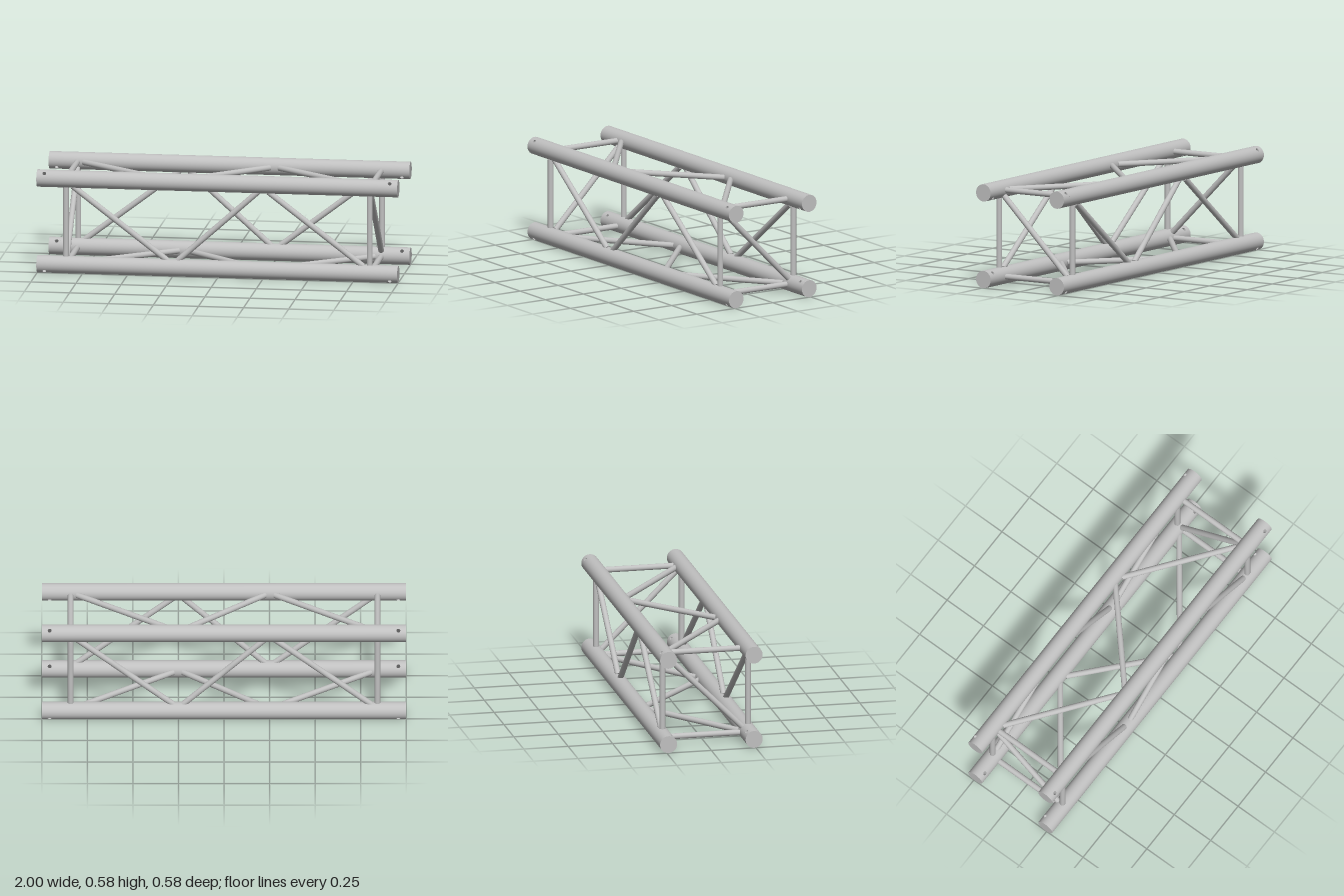
import * as THREE from 'three';
import { mergeGeometries } from 'three/addons/utils/BufferGeometryUtils.js';
import { ParametricGeometry } from 'three/addons/geometries/ParametricGeometry.js';

const R = 0.048;        // chord radius
const BAR = 0.016;      // brace radius
const HALF = 0.2405;    // chord offset from the truss axis
const MID = HALF + R;   // height of the truss axis
const HOLE = 0.0105;    // pin hole radius
const HOLE_X = 0.957;
const PATCH = 0.02;     // half length of the patch around a hole
const SPREAD = Math.PI / 6; // half angle of that patch
const END_X = 0.842;    // end frame position

// Chord tube along x, with a pin hole drilled through near each end
function chordGeometry(holeAngle) {
  const parts = [];
  const surface = (f, nu, nv) => parts.push(new ParametricGeometry(f, nu, nv));
  const wrap = (x, a, p) => p.set(x, R * Math.sin(a), R * Math.cos(a));
  const sleeve = (x0, x1, a0, a1, n) =>
    surface((u, v, p) => wrap(x0 + (x1 - x0) * u, a0 + (a1 - a0) * v, p), 1, n);

  // Plain lengths between the drilled bands
  const near = HOLE_X - PATCH, far = HOLE_X + PATCH;
  for (const [x0, x1] of [[-1, -far], [-near, near], [far, 1]]) {
    sleeve(x0, x1, holeAngle + SPREAD, holeAngle + SPREAD + Math.PI * 2, 48);
  }

  for (const cx of [-HOLE_X, HOLE_X]) {
    for (const a of [holeAngle, holeAngle + Math.PI]) {
      sleeve(cx - PATCH, cx + PATCH, a + SPREAD, a + Math.PI - SPREAD, 16);
      // Patch blending from the round hole to a rectangular border
      surface((u, v, p) => {
        const c = Math.cos(v * Math.PI * 2), s = Math.sin(v * Math.PI * 2);
        const m = Math.max(Math.abs(c), Math.abs(s));
        const x = THREE.MathUtils.lerp(HOLE * c, PATCH * c / m, u);
        const da = THREE.MathUtils.lerp(Math.asin(HOLE * s / R), SPREAD * s / m, u);
        wrap(cx + x, a + da, p);
      }, 4, 32);
    }
    // Wall of the hole
    const sn = Math.sin(holeAngle), cs = Math.cos(holeAngle);
    surface((u, v, p) => {
      const t = v * Math.PI * 2, e = HOLE * Math.sin(t);
      const w = (u * 2 - 1) * Math.sqrt(R * R - e * e);
      p.set(cx + HOLE * Math.cos(t), w * sn + e * cs, w * cs - e * sn);
    }, 1, 32);
  }

  // Closed ends
  for (const s of [-1, 1]) {
    parts.push(new THREE.CircleGeometry(R, 48).rotateY(s * Math.PI / 2).translate(s, 0, 0));
  }
  return mergeGeometries(parts);
}

export function createModel() {
  const model = new THREE.Group();
  model.name = 'boxTruss';
  const metal = new THREE.MeshStandardMaterial({ color: 0xc0c0c0 });
  metal.name = 'aluminium';

  // Round bar between two points given relative to the truss axis
  function bar(name, from, to, overlap = 0) {
    const a = new THREE.Vector3(...from), b = new THREE.Vector3(...to);
    const dir = b.clone().sub(a);
    const mesh = new THREE.Mesh(
      new THREE.CylinderGeometry(BAR, BAR, dir.length() + overlap * 2, 24), metal);
    mesh.position.copy(a).add(b).multiplyScalar(0.5);
    mesh.position.y += MID;
    mesh.quaternion.setFromUnitVectors(new THREE.Vector3(0, 1, 0), dir.normalize());
    mesh.name = name;
    model.add(mesh);
  }

  // Four main chords
  for (const sy of [-1, 1]) for (const sz of [-1, 1]) {
    const chord = new THREE.Mesh(chordGeometry(Math.atan2(sy, sz)), metal);
    chord.position.set(0, MID + sy * HALF, sz * HALF);
    chord.name = (sy > 0 ? 'top' : 'bottom') + (sz > 0 ? 'Front' : 'Back') + 'Chord';
    model.add(chord);
  }

  // End frames: a square of bars and one corner to corner diagonal
  const gap = HALF - R;
  const corner = HALF - R * Math.SQRT1_2;
  for (const sx of [-1, 1]) {
    const x = sx * END_X;
    for (const s of [-1, 1]) {
      bar('endUpright', [x, -gap, s * HALF], [x, gap, s * HALF]);
      bar('endCrossbar', [x, s * HALF, -gap], [x, s * HALF, gap]);
    }
    bar('endDiagonal', [x, corner, sx * corner], [x, -corner, -sx * corner]);
  }

  // Zigzag lacing on the four sides; opposite sides run the other way
  const runs = [[-0.795, -0.29, 1], [-0.215, 0.215, -1], [0.29, 0.795, 1]];
  for (const side of [-1, 1]) {
    for (const [x0, x1, d] of runs) {
      const e = gap * d * side;
      bar('sideLacing', [x0, e, side * HALF], [x1, -e, side * HALF], 0.012);
      bar(side > 0 ? 'topLacing' : 'bottomLacing',
        [x0, side * HALF, -e], [x1, side * HALF, e], 0.012);
    }
  }
  return model;
}
